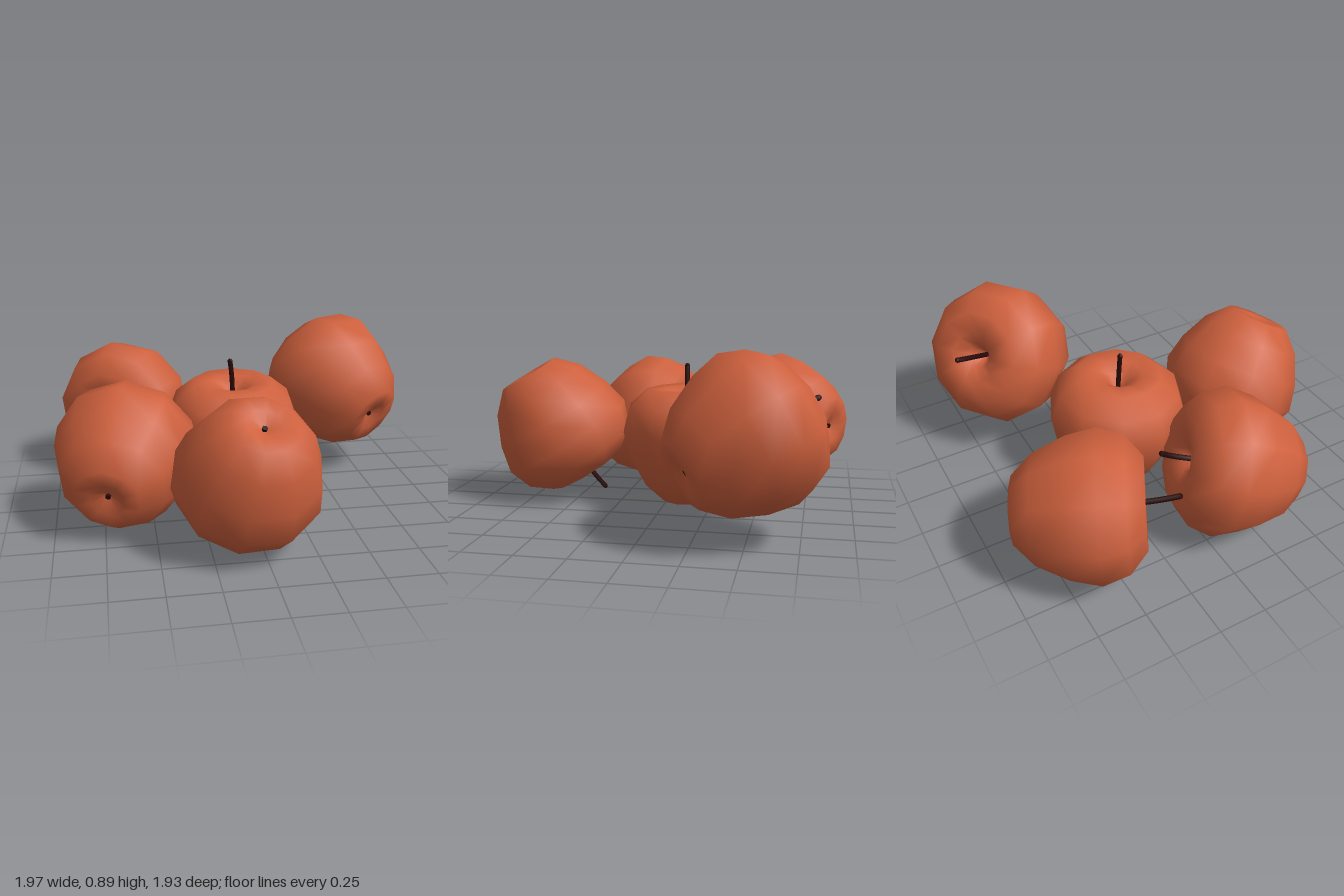
import * as THREE from 'three';

const skin = new THREE.MeshStandardMaterial({ color: 0xcd603d });
skin.name = 'appleSkin';
const bark = new THREE.MeshStandardMaterial({ color: 0x2a0808 });
bark.name = 'darkStem';

// Half section of an apple [radius, height], from blossom dimple up to stem dimple
const profile = [
  [0, -0.272], [0.025, -0.28], [0.085, -0.312], [0.165, -0.312], [0.265, -0.21],
  [0.338, -0.055], [0.37, 0.09], [0.325, 0.215], [0.225, 0.296], [0.13, 0.29],
  [0.06, 0.25], [0.02, 0.19], [0, 0.17],
].map(([r, y]) => new THREE.Vector2(r, y));

const bodyGeometry = new THREE.LatheGeometry(profile, 10);
const tipGeometry = new THREE.SphereGeometry(0.0145, 6, 4);
const calyxGeometry = new THREE.CylinderGeometry(0.012, 0.014, 0.024, 6);

function part(name, geometry, material, y = 0) {
  const mesh = new THREE.Mesh(geometry, material);
  mesh.name = name;
  mesh.position.y = y;
  return mesh;
}

// One apple with its stem side along axis; the stem bends to reach stemEnd
function makeApple({ name, position, axis, stemEnd, size = 1, spin = 0 }) {
  const apple = new THREE.Group();
  apple.name = name;
  apple.position.set(...position);
  apple.scale.setScalar(size);
  apple.quaternion.setFromUnitVectors(
    new THREE.Vector3(0, 1, 0), new THREE.Vector3(...axis).normalize());
  apple.updateMatrixWorld();

  const body = part('appleBody', bodyGeometry, skin);
  body.rotation.y = spin;

  const end = apple.worldToLocal(new THREE.Vector3(...stemEnd));
  const path = new THREE.QuadraticBezierCurve3(
    new THREE.Vector3(0, 0.15, 0), new THREE.Vector3(0, 0.32, 0), end);
  const tip = part('stemTip', tipGeometry, bark);
  tip.position.copy(end);

  apple.add(
    body,
    part('stem', new THREE.TubeGeometry(path, 6, 0.014, 6), bark),
    tip,
    part('calyx', calyxGeometry, bark, -0.279),
  );
  return apple;
}

const halfFacet = Math.PI / 10;

const apples = [
  { name: 'centreApple', position: [-0.03, 0.335, -0.128], axis: [0, 1, 0.06],
    stemEnd: [-0.045, 0.745, -0.11], spin: -0.1 },
  { name: 'frontApple', position: [-0.058, 0.412, 0.618], axis: [-0.12, -0.86, -0.5],
    stemEnd: [-0.12, 0.04, 0.375], size: 1.02 },
  { name: 'frontSideApple', position: [-0.642, 0.345, 0.22], axis: [0.29, 0.28, -0.91],
    stemEnd: [-0.56, 0.51, -0.165], size: 1.025, spin: halfFacet },
  { name: 'backSideApple', position: [-0.575, 0.388, -0.608], axis: [-0.47, 0.05, 0.88],
    stemEnd: [-0.78, 0.43, -0.195], size: 1.02, spin: halfFacet },
  { name: 'raisedApple', position: [0.642, 0.488, -0.472], axis: [-0.5, 0.42, -0.75],
    stemEnd: [0.445, 0.66, -0.81], size: 1.065, spin: halfFacet },
];

export function createModel() {
  const group = new THREE.Group();
  group.name = 'apples';
  group.add(...apples.map(makeApple));
  return group;
}
